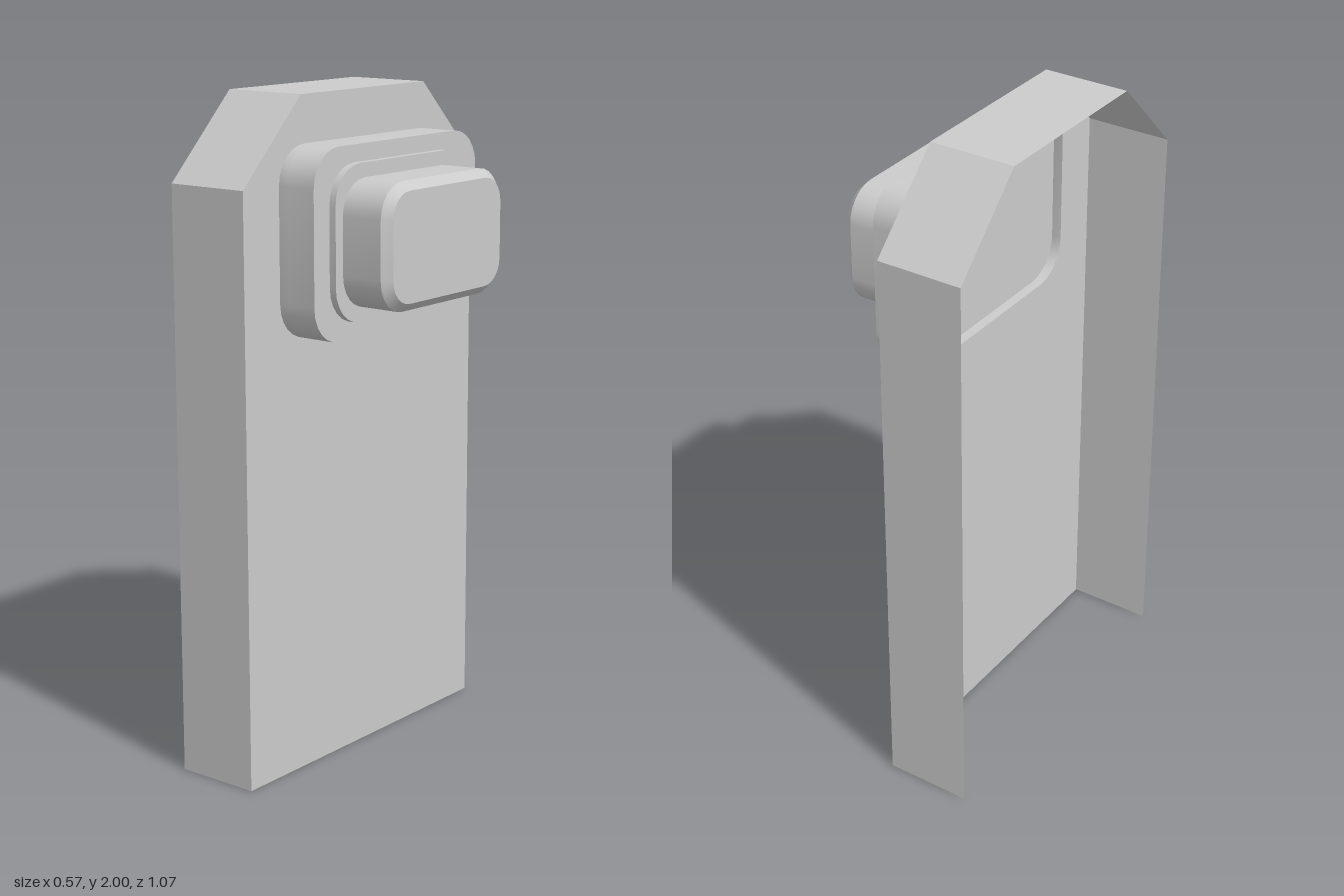
import * as THREE from 'three';
import { toCreasedNormals } from 'three/addons/utils/BufferGeometryUtils.js';

const material = new THREE.MeshStandardMaterial({ color: 0xcccccc, side: THREE.DoubleSide });
const CREASE = 0.62;
const MID_Y = 1.586;

// Rounded rectangle centred on the button, drawn in the plane of the plate
function roundedRect(hw, hh, r, Type = THREE.Shape) {
  const s = new Type();
  s.absarc(hw - r, MID_Y + hh - r, r, 0, Math.PI / 2);
  s.absarc(-hw + r, MID_Y + hh - r, r, Math.PI / 2, Math.PI);
  s.absarc(-hw + r, MID_Y - hh + r, r, Math.PI, Math.PI * 1.5);
  s.absarc(hw - r, MID_Y - hh + r, r, Math.PI * 1.5, Math.PI * 2);
  s.closePath();
  return s;
}

// Turns a geometry drawn in xy (depth along z) so that its depth runs along +x
function addPart(group, name, geometry, x) {
  geometry.rotateY(Math.PI / 2).translate(x, 0, 0);
  const mesh = new THREE.Mesh(toCreasedNormals(geometry, CREASE), material);
  mesh.name = name;
  group.add(mesh);
}

// Open thin wall swept along a line of points
function strip(points, depth) {
  const pos = [];
  for (let i = 0; i < points.length - 1; i++) {
    const a = points[i], b = points[i + 1];
    if (a.distanceTo(b) < 1e-5) continue;
    pos.push(a.x, a.y, 0, b.x, b.y, 0, b.x, b.y, depth);
    pos.push(a.x, a.y, 0, b.x, b.y, depth, a.x, a.y, depth);
  }
  const g = new THREE.BufferGeometry();
  g.setAttribute('position', new THREE.Float32BufferAttribute(pos, 3));
  g.computeVertexNormals();
  return g;
}

// Solid rounded block, optionally with a chamfered front edge
function block(hw, hh, r, depth, bevel = 0) {
  return new THREE.ExtrudeGeometry(roundedRect(hw, hh, r), {
    depth: depth - bevel, curveSegments: 3, bevelEnabled: bevel > 0,
    bevelSize: bevel, bevelThickness: bevel, bevelOffset: -bevel, bevelSegments: 1,
  });
}

export function createModel() {
  const group = new THREE.Group();
  group.name = 'wallButton';
  const backX = -0.285, plateX = -0.02;

  // Housing outline, from one bottom corner over the chamfered top to the other
  const outline = [[0.533, 0], [0.533, 1.755], [0.285, 2], [-0.285, 2], [-0.533, 1.755], [-0.533, 0]]
    .map(([x, y]) => new THREE.Vector2(x, y));

  // Front plate with the opening behind the bezel
  const plate = new THREE.Shape(outline);
  plate.holes.push(roundedRect(0.382, 0.276, 0.11, THREE.Path));
  addPart(group, 'frontPlate', new THREE.ShapeGeometry(plate, 3), plateX);

  // Thin side walls and top, open at the back and the bottom
  addPart(group, 'housingWalls', strip(outline, plateX - backX), backX);

  // Shallow lip around the opening, then the stacked bezel
  const lip = roundedRect(0.382, 0.276, 0.11).getPoints(3);
  addPart(group, 'openingLip', strip(lip, 0.03), plateX);
  addPart(group, 'bezel', block(0.382, 0.276, 0.11, 0.095), 0.01);
  addPart(group, 'bezelStep', block(0.314, 0.226, 0.11, 0.047), 0.08);

  // Button with chamfered front edge
  addPart(group, 'button', block(0.282, 0.184, 0.1, 0.225, 0.025), 0.06);
  return group;
}
